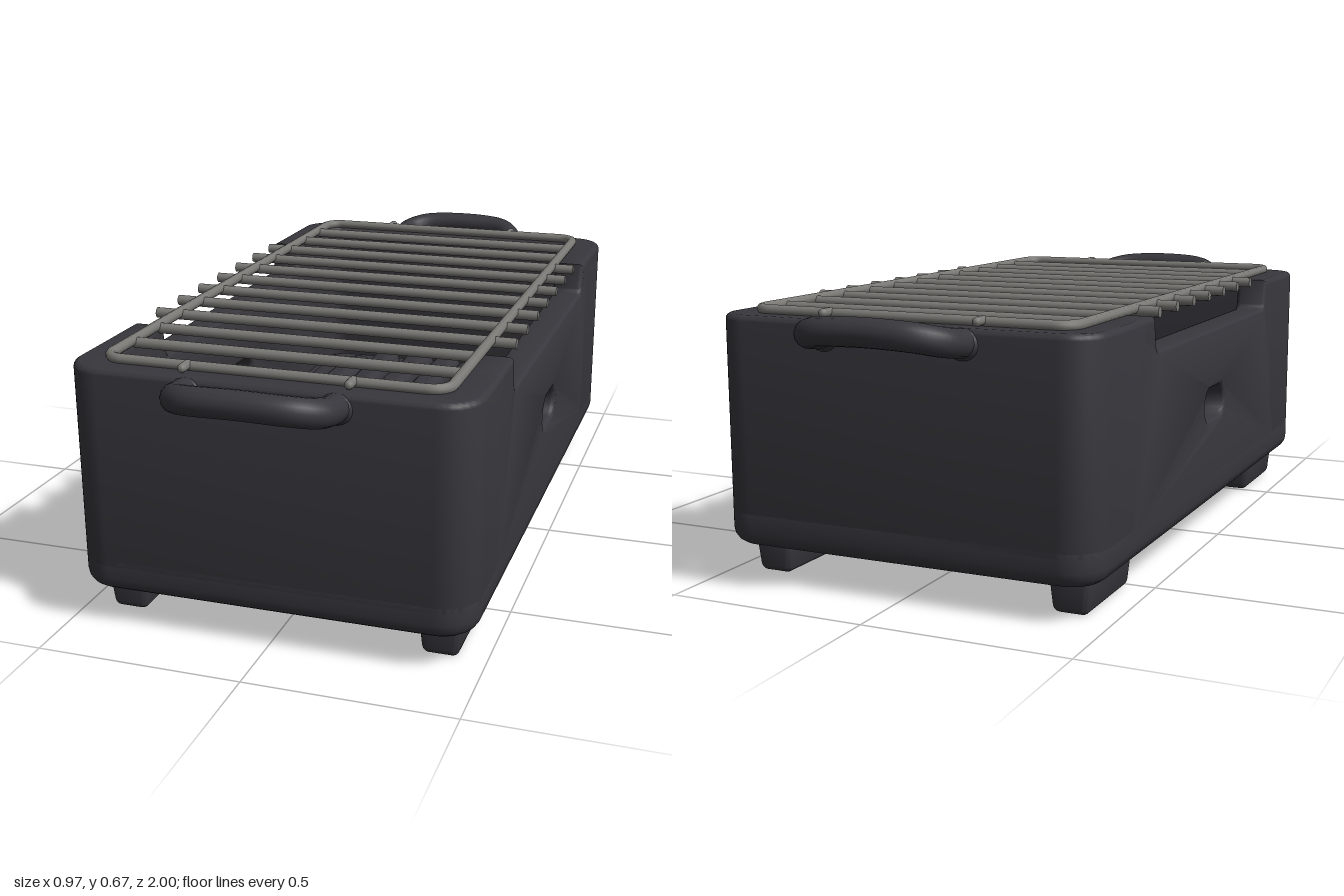
import * as THREE from 'three';
import { toCreasedNormals } from 'three/addons/utils/BufferGeometryUtils.js';
import { RoundedBoxGeometry } from 'three/addons/geometries/RoundedBoxGeometry.js';

const iron = new THREE.MeshStandardMaterial({ color: 0x38373d });
iron.name = 'dark cast iron';
const steel = new THREE.MeshStandardMaterial({ color: 0x7a7975 });
steel.name = 'grey steel';

function add(parent, name, geometry, material, x = 0, y = 0, z = 0) {
  const mesh = new THREE.Mesh(geometry, material);
  mesh.name = name;
  mesh.position.set(x, y, z);
  parent.add(mesh);
  return mesh;
}

// Rounded rectangle of half sizes a, b, as a shape or a hole
function roundedRect(a, b, r, path = new THREE.Shape()) {
  path.absarc(a - r, b - r, r, 0, Math.PI / 2);
  path.absarc(-a + r, b - r, r, Math.PI / 2, Math.PI);
  path.absarc(-a + r, -b + r, r, Math.PI, Math.PI * 1.5);
  path.absarc(a - r, -b + r, r, Math.PI * 1.5, Math.PI * 2);
  path.closePath();
  return path;
}

// Extrusion with softened edges that keeps the drawn outline and depth
function softExtrude(shape, depth, bevel) {
  const geometry = new THREE.ExtrudeGeometry(shape, {
    depth: depth - 2 * bevel, bevelThickness: bevel, bevelSize: bevel,
    bevelOffset: -bevel, bevelSegments: 4, curveSegments: 8,
  });
  geometry.translate(0, 0, bevel);
  return toCreasedNormals(geometry, 0.7);
}

const rod = (radius, length) => new THREE.CylinderGeometry(radius, radius, length, 12);

function makeBody() {
  const body = new THREE.Group();
  body.name = 'body';

  // Base with a rounded lower edge; its top is the inside floor
  const base = softExtrude(roundedRect(0.485, 0.845, 0.09), 0.12, 0.038);
  add(body, 'base', base.rotateX(-Math.PI / 2), iron, 0, 0.085, 0);
  const liner = softExtrude(roundedRect(0.375, 0.74, 0.05), 0.02, 0.008);
  add(body, 'floorLiner', liner.rotateX(-Math.PI / 2), iron, 0, 0.2, 0);

  // End walls: U-shaped in plan, wrapping both corners
  const u = new THREE.Shape();
  u.moveTo(0.485, -0.55);
  u.lineTo(0.4, -0.55);
  u.absarc(0.35, -0.72, 0.05, 0, -Math.PI / 2, true);
  u.absarc(-0.35, -0.72, 0.05, -Math.PI / 2, -Math.PI, true);
  u.lineTo(-0.4, -0.55);
  u.lineTo(-0.485, -0.55);
  u.absarc(-0.395, -0.755, 0.09, Math.PI, Math.PI * 1.5);
  u.absarc(0.395, -0.755, 0.09, -Math.PI / 2, 0);
  u.closePath();
  const end = softExtrude(u, 0.5, 0.014).rotateX(-Math.PI / 2);
  add(body, 'frontWall', end, iron, 0, 0.14, 0);
  add(body, 'backWall', end, iron, 0, 0.14, 0).rotation.y = Math.PI;

  // Side walls: notched rim and an oval air hole
  const side = new THREE.Shape();
  side.moveTo(-0.62, 0.14);
  side.lineTo(0.62, 0.14);
  side.lineTo(0.62, 0.64);
  side.lineTo(0.477, 0.64);
  side.lineTo(0.465, 0.575);
  side.quadraticCurveTo(0.462, 0.557, 0.44, 0.557);
  side.lineTo(-0.44, 0.557);
  side.quadraticCurveTo(-0.462, 0.557, -0.465, 0.575);
  side.lineTo(-0.477, 0.64);
  side.lineTo(-0.62, 0.64);
  side.closePath();
  const hole = new THREE.Path();
  hole.absarc(0.04, 0.358, 0.042, -Math.PI / 2, Math.PI / 2);
  hole.absarc(-0.04, 0.358, 0.042, Math.PI / 2, Math.PI * 1.5);
  hole.closePath();
  side.holes.push(hole);
  const wall = softExtrude(side, 0.085, 0.014).rotateY(-Math.PI / 2);
  add(body, 'leftWall', wall, iron, 0.485);
  add(body, 'rightWall', wall, iron, -0.4);
  return body;
}

// Feet taper towards the ground
function makeFeet() {
  const feet = new THREE.Group();
  feet.name = 'feet';
  const foot = new RoundedBoxGeometry(0.1, 0.12, 0.28, 3, 0.018);
  const p = foot.attributes.position;
  for (let i = 0; i < p.count; i++) {
    const t = (0.06 - p.getY(i)) / 0.12;
    p.setX(i, p.getX(i) * (1.08 - 0.22 * t));
    p.setZ(i, p.getZ(i) * (1 - 0.08 * t));
  }
  foot.computeVertexNormals();
  for (const x of [-0.39, 0.39]) {
    for (const z of [-0.63, 0.63]) add(feet, 'foot', toCreasedNormals(foot, 0.7), iron, x, 0.062, z);
  }
  return feet;
}

// Looped handles rise gently away from the end walls
function makeHandles() {
  const handles = new THREE.Group();
  handles.name = 'handles';
  const half = [[0.175, 0.606, 0.81], [0.175, 0.611, 0.87], [0.163, 0.62, 0.92], [0.12, 0.631, 0.955]];
  const points = [
    ...half,
    [0, 0.637, 0.967],
    ...half.slice().reverse().map(([x, y, z]) => [-x, y, z]),
  ].map((q) => new THREE.Vector3(...q));
  const tube = new THREE.TubeGeometry(new THREE.CatmullRomCurve3(points), 56, 0.033, 14);
  add(handles, 'frontHandle', tube, iron);
  add(handles, 'backHandle', tube, iron).rotation.y = Math.PI;
  // Flared collars where the handles join the walls
  for (const s of [-1, 1]) {
    for (const x of [-0.175, 0.175]) {
      const collar = add(handles, 'handleCollar', new THREE.SphereGeometry(0.04, 16, 12), iron, x, 0.605, s * 0.842);
      collar.scale.set(1, 0.9, 0.55);
    }
  }
  return handles;
}

function makeGrate() {
  const grate = new THREE.Group();
  grate.name = 'grate';

  // Frame: one closed wire with rounded corners
  const outline = roundedRect(0.405, 0.78, 0.045).getPoints(8).slice(0, -1);
  const path = new THREE.CurvePath();
  outline.forEach((a, i) => {
    const b = outline[(i + 1) % outline.length];
    if (a.distanceTo(b) < 1e-5) return;
    path.add(new THREE.LineCurve3(new THREE.Vector3(a.x, 0, a.y), new THREE.Vector3(b.x, 0, b.y)));
  });
  add(grate, 'grateFrame', new THREE.TubeGeometry(path, 400, 0.013, 10, true), steel, 0, 0.648, 0);

  // Cross bars: those over the notches reach past the walls
  for (let i = 0; i < 11; i++) {
    const z = -0.658 + i * 0.129;
    const length = Math.abs(z) < 0.45 ? 0.935 : 0.8;
    add(grate, 'grateBar', rod(0.0135, length), steel, 0, 0.642, z).rotation.z = Math.PI / 2;
  }

  // Short pins resting on the end rims
  for (const x of [-0.195, 0.195]) {
    for (const s of [-1, 1]) {
      const pin = add(grate, 'gratePin', new THREE.CapsuleGeometry(0.011, 0.03, 4, 10), steel, x, 0.652, s * 0.797);
      pin.rotation.x = Math.PI / 2;
    }
  }
  return grate;
}

// Rows of irregular charcoal pieces on the floor
function makeCharcoal() {
  const bed = new THREE.Group();
  bed.name = 'charcoal';
  let seed = 7;
  const random = () => (seed = (seed * 16807) % 2147483647) / 2147483647;
  add(bed, 'charcoalBed', new RoundedBoxGeometry(0.6, 0.05, 1.28, 3, 0.02), iron, 0, 0.225, 0.02);
  const piece = new RoundedBoxGeometry(0.085, 0.07, 0.34, 3, 0.03);
  for (let column = 0; column < 6; column++) {
    for (let row = 0; row < 4; row++) {
      const x = -0.24 + column * 0.096;
      const z = -0.44 + row * 0.305;
      const log = add(bed, 'charcoalPiece', piece, iron, x, 0.24 + random() * 0.015, z + (random() - 0.5) * 0.06);
      log.rotation.set((random() - 0.5) * 0.06, (random() - 0.5) * 0.16, (random() - 0.5) * 0.5);
      log.scale.z = 0.85 + random() * 0.2;
    }
  }
  return bed;
}

export function createModel() {
  const model = new THREE.Group();
  model.name = 'tableGrill';
  model.add(makeBody(), makeFeet(), makeHandles(), makeGrate(), makeCharcoal());
  return model;
}
